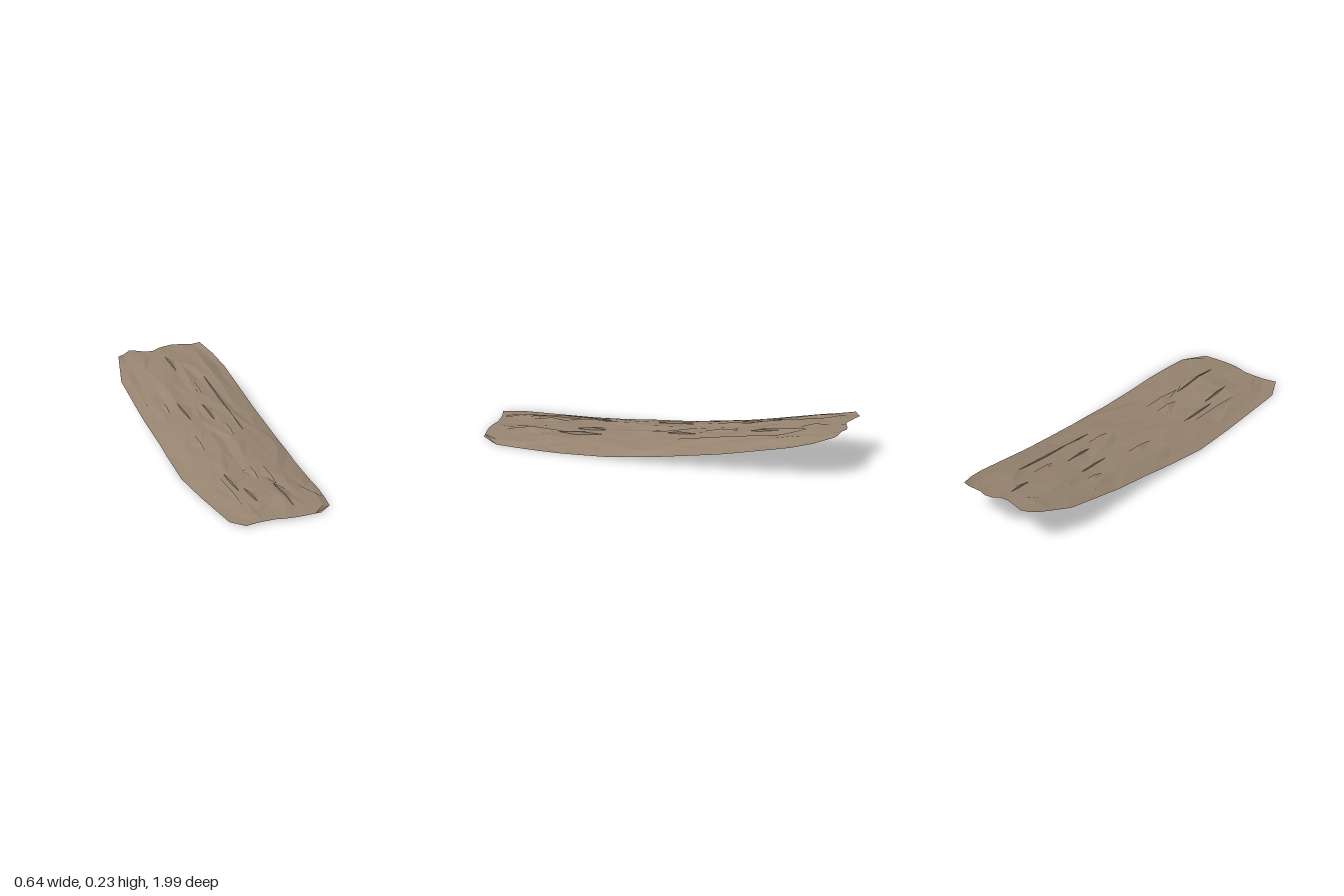
import * as THREE from 'three';

// piecewise-linear curve through [t, value] pairs
const curve = (pts) => (t) => {
  if (t <= pts[0][0]) return pts[0][1];
  for (let i = 1; i < pts.length; i++) {
    const [a, va] = pts[i - 1], [b, vb] = pts[i];
    if (t <= b) return va + (vb - va) * (t - a) / (b - a);
  }
  return pts[pts.length - 1][1];
};
const hash = (i, j) => {
  const s = Math.sin(i * 127.1 + j * 311.7) * 43758.5453;
  return (s - Math.floor(s)) * 2 - 1;
};

// outline: side edges by length, ragged ends by width
const leftX = curve([[-1, -0.22], [-0.78, -0.28], [-0.4, -0.292], [-0.1, -0.297], [0.27, -0.32], [0.6, -0.303], [0.92, -0.285], [1, -0.23]]);
const rightX = curve([[-1, 0.24], [-0.85, 0.295], [-0.5, 0.305], [0.1, 0.316], [0.7, 0.305], [0.94, 0.275], [1, 0.2]]);
const backZ = curve([[0, 0.94], [0.17, 0.99], [0.39, 0.95], [0.52, 0.97], [0.63, 1], [0.76, 0.983], [1, 0.976]]);
const frontZ = curve([[0, 0.995], [0.18, 0.972], [0.44, 0.96], [0.53, 0.972], [0.72, 0.97], [1, 0.95]]);
// heights of the rim and of the crown along the length
const rimY = curve([[-1, 0.222], [-0.8, 0.172], [-0.4, 0.095], [0, 0.039], [0.27, 0.013], [0.5, 0.004], [0.9, 0.004], [1, 0.012]]);
const crownY = curve([[-1, 0.228], [-0.8, 0.208], [-0.4, 0.142], [0, 0.097], [0.25, 0.073], [0.5, 0.052], [0.76, 0.047], [1, 0.013]]);

const COLS = 12;
const ROWS = [-1, -0.9, -0.78, -0.64, -0.5, -0.38, -0.25, -0.12, 0, 0.13, 0.27, 0.4, 0.52, 0.65, 0.78, 0.9, 1];

function surfacePoint(u, t, thickness) {
  const z = t < 0 ? t * backZ(u) : t * frontZ(u);
  const x = leftX(t) + (rightX(t) - leftX(t)) * u;
  const arch = 1 - Math.pow(Math.abs(2 * u - 1), 2.3);
  return [x, rimY(t) + (crownY(t) - rimY(t)) * arch * thickness, z];
}

// one face of the slab, with a little faceted roughness away from the rim
function sheet(top, out) {
  const point = (i, j) => {
    const u = i / COLS, t = ROWS[j];
    const p = surfacePoint(u, t, top ? 0.95 : 0.5);
    const end = j === 0 || j === ROWS.length - 1;
    if (end) {
      p[1] = surfacePoint(u, t, 1)[1] + (j === 0 ? 0.006 * hash(i, 3) : 0);
    } else if (i > 0 && i < COLS) {
      const k = top ? 0 : 50;
      p[0] += 0.012 * hash(i + k, j);
      p[2] += 0.03 * hash(i + k, j + 20);
      p[1] += (top ? 0.006 : 0.005) * hash(i + k, j + 40) + (top ? 0.003 : 0.002) * hash(i + k, 90);
    }
    return p;
  };
  for (let j = 0; j < ROWS.length - 1; j++) {
    for (let i = 0; i < COLS; i++) {
      const a = point(i, j), b = point(i + 1, j), c = point(i + 1, j + 1), d = point(i, j + 1);
      const tris = hash(i, j + 70) > 0 ? [[a, d, c], [a, c, b]] : [[a, d, b], [b, d, c]];
      for (const [p, q, r] of tris) out.push(...p, ...(top ? [...q, ...r] : [...r, ...q]));
    }
  }
}

function flatMesh(name, positions, material) {
  const geometry = new THREE.BufferGeometry();
  geometry.setAttribute('position', new THREE.Float32BufferAttribute(positions, 3));
  geometry.computeVertexNormals();
  const mesh = new THREE.Mesh(geometry, material);
  mesh.name = name;
  return mesh;
}

// long raised splinter: steep on one side, fading into the surface on the other
function splinter(x, z0, z1, side) {
  const at = (px, pz, lift) => {
    const u = (px - leftX(pz)) / (rightX(pz) - leftX(pz));
    return [px, surfacePoint(u, pz, 0.95)[1] + lift, pz];
  };
  const zm = z0 + (z1 - z0) * 0.55;
  const a = at(x, z0, 0), b = at(x + 0.008 * side, z1, 0);
  const peak = at(x + 0.003 * side, zm, 0.011);
  const foot = at(x + 0.055 * side, zm - 0.05, -0.003);
  const under = at(x + 0.001 * side, zm, -0.008);
  const tris = [[a, peak, foot], [peak, b, foot], [a, under, peak], [under, b, peak]];
  return tris.flatMap(([p, q, r]) => side > 0 ? [...p, ...q, ...r] : [...p, ...r, ...q]);
}

export function createModel() {
  const group = new THREE.Group();
  group.name = 'barkSlab';
  const bark = new THREE.MeshStandardMaterial({ color: 0x95836f });
  bark.name = 'greyBrownBark';
  bark.flatShading = true;
  bark.side = THREE.DoubleSide;

  // arched slab, closed along its thin rim
  const body = [];
  sheet(true, body);
  sheet(false, body);
  group.add(flatMesh('slab', body, bark));

  // splinters along the grain: x, start z, end z, side of the shallow slope
  const splinters = [
    [-0.15, -0.46, -0.34, -1], [-0.11, -0.75, -0.4, -1], [-0.09, -0.46, -0.18, 1],
    [-0.12, -0.12, 0.13, -1], [0.01, -0.9, -0.72, 1], [0.07, -0.65, -0.4, -1],
    [0.03, -0.4, -0.2, 1], [0.08, -0.17, 0.02, -1], [0.14, -0.76, -0.06, 1],
    [-0.16, 0.36, 0.82, -1], [-0.13, 0.34, 0.6, 1], [-0.09, 0.58, 0.76, 1],
    [0.03, 0.34, 0.5, -1], [0.1, 0.33, 0.58, -1], [0.075, 0.56, 0.86, 1],
  ];
  group.add(flatMesh('splinters', splinters.flatMap((s) => splinter(...s)), bark));
  return group;
}
